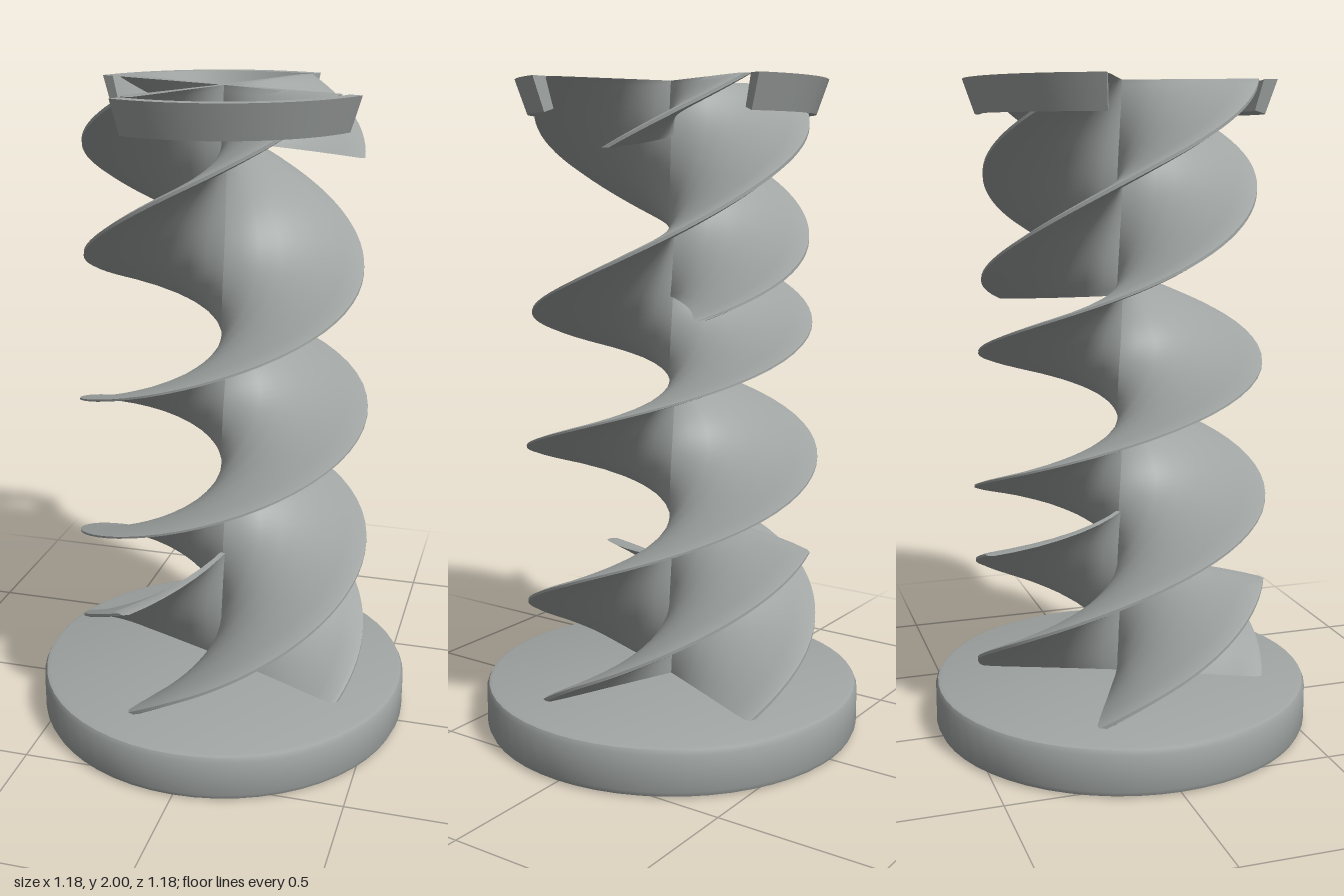
import * as THREE from 'three';
import { toCreasedNormals } from 'three/addons/utils/BufferGeometryUtils.js';

const RAD = Math.PI / 180;

// Twist of the main plate: [height, degrees]; slower near both ends
const TWIST = [[0.1, -215], [0.25, -180], [0.57, -90], [0.8, 0], [1.02, 90],
  [1.22, 180], [1.45, 270], [1.77, 360], [2, 425]];

function twist(y) {
  const n = TWIST.length - 1;
  let i = 0;
  while (i < n - 1 && y > TWIST[i + 1][0]) i++;
  const slope = (k) => {
    const a = TWIST[Math.max(0, k - 1)], b = TWIST[Math.min(n, k + 1)];
    return (b[1] - a[1]) / (b[0] - a[0]);
  };
  const [y0, p0] = TWIST[i], [y1, p1] = TWIST[i + 1], h = y1 - y0, t = (y - y0) / h;
  const t2 = t * t, t3 = t2 * t;
  return (2 * t3 - 3 * t2 + 1) * p0 + (t3 - 2 * t2 + t) * h * slope(i)
    + (3 * t2 - 2 * t3) * p1 + (t3 - t2) * h * slope(i + 1);
}

// Blade reach shrinks slightly towards the top
const reach = (y) => 0.455 - 0.045 * THREE.MathUtils.smoothstep(y, 0.7, 1.75);

// Capped solid swept through closed cross-section loops
function loft(rows, count, point) {
  const pos = [], index = [];
  for (let i = 0; i <= rows; i++) {
    for (let j = 0; j < count; j++) pos.push(...point(i / rows, j));
  }
  for (let i = 0; i < rows; i++) {
    for (let j = 0; j < count; j++) {
      const a = i * count + j, b = i * count + (j + 1) % count;
      index.push(a, a + count, b, b, a + count, b + count);
    }
  }
  const end = rows * count;
  for (let j = 0; j < count / 2 - 1; j++) {
    const a = j, b = j + 1, c = count - 2 - j, d = count - 1 - j;
    index.push(a, b, c, a, c, d);
    index.push(end + a, end + c, end + b, end + a, end + d, end + c);
  }
  const g = new THREE.BufferGeometry();
  g.setAttribute('position', new THREE.Float32BufferAttribute(pos, 3));
  g.setIndex(index);
  return toCreasedNormals(g, 0.8);
}

// Half cross-section of a blade: [fraction of reach, half thickness]
const SECTION = [[0, 0.008], [0.12, 0.009], [0.25, 0.011], [0.4, 0.013], [0.55, 0.015],
  [0.7, 0.018], [0.85, 0.02], [0.97, 0.02], [1, 0.01]];

// Helical blade; each end has an axis height and a tip height
function bladeGeometry(offset, start, end) {
  const n = SECTION.length;
  const rows = Math.ceil((end[0] - start[0]) * 55) + 4;
  return loft(rows, n * 2, (t, j) => {
    const [f, half] = SECTION[j < n ? j : 2 * n - 1 - j];
    const s = j < n ? half : -half;
    const y = THREE.MathUtils.lerp(
      THREE.MathUtils.lerp(start[0], start[1], f),
      THREE.MathUtils.lerp(end[0], end[1], f), t);
    const p = (twist(y) + offset) * RAD, r = f * reach(y);
    return [r * Math.sin(p) + s * Math.cos(p), y, r * Math.cos(p) - s * Math.sin(p)];
  });
}

// Flared band joining two neighbouring blade tops
function rimGeometry(from, to) {
  const loop = [[0.43, 1.9], [0.465, 2], [0.425, 2], [0.4, 1.91]];
  return loft(28, 4, (t, j) => {
    const p = THREE.MathUtils.lerp(from, to, t) * RAD, [r, y] = loop[j];
    return [r * Math.sin(p), y, r * Math.cos(p)];
  });
}

export function createModel() {
  const group = new THREE.Group();
  const grey = new THREE.MeshStandardMaterial({ color: 0xa0a5a3, side: THREE.DoubleSide });
  grey.name = 'stone grey';
  const add = (name, geometry) => {
    const mesh = new THREE.Mesh(geometry, grey);
    mesh.name = name;
    group.add(mesh);
  };

  // Round base with softened rims
  const profile = [[0, 0], [0.57, 0], [0.583, 0.005], [0.59, 0.02], [0.59, 0.13],
    [0.583, 0.145], [0.57, 0.15], [0, 0.15]].map(([x, y]) => new THREE.Vector2(x, y));
  add('base', toCreasedNormals(new THREE.LatheGeometry(profile, 56), 0.7));

  // Two full-height blades, half a turn apart
  add('mainBladeA', bladeGeometry(0, [0.12, 0.12], [2, 2]));
  add('mainBladeB', bladeGeometry(180, [0.12, 0.12], [2, 2]));

  // Short extra blades at the foot and at the top
  add('lowerLeftBlade', bladeGeometry(270, [0.12, 0.12], [0.68, 0.6]));
  add('lowerRightBlade', bladeGeometry(90, [0.12, 0.12], [0.53, 0.48]));
  add('upperLeftBlade', bladeGeometry(90, [1.84, 1.8], [2, 2]));
  add('upperRightBlade', bladeGeometry(-90, [1.36, 1.33], [2, 2]));

  // Two rim arcs on opposite sides of the top
  add('frontRim', rimGeometry(-25, 68));
  add('backRim', rimGeometry(155, 248));
  return group;
}
